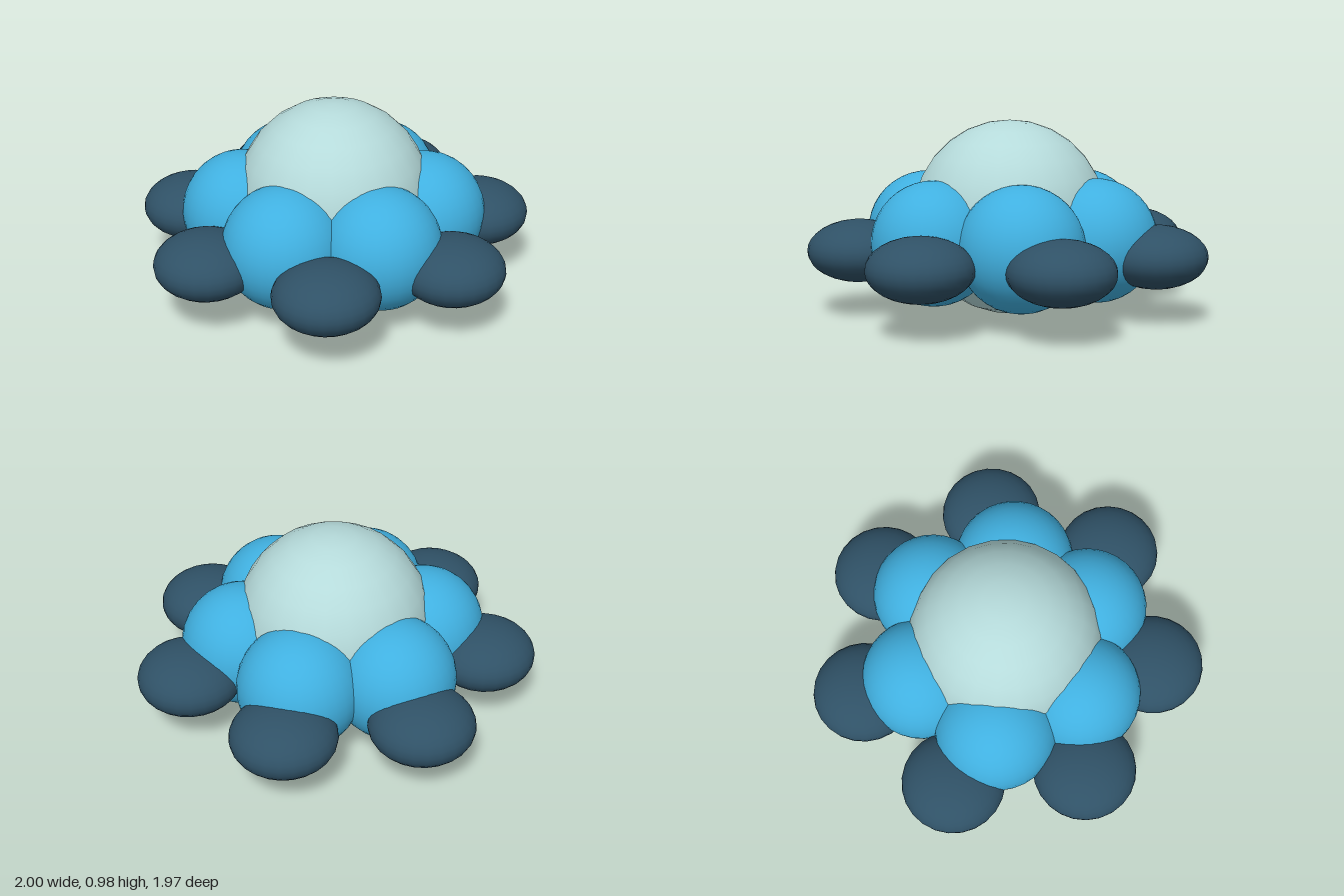
import * as THREE from 'three';

export function createModel() {
  const model = new THREE.Group();
  const centreZ = -0.04;

  const mat = (name, color) => {
    const m = new THREE.MeshStandardMaterial({ color });
    m.name = name;
    return m;
  };
  const paleTeal = mat('pale teal', 0xb5dada);
  const skyBlue = mat('sky blue', 0x40b0e0);
  const slateBlue = mat('slate blue', 0x2f5166);

  // Evenly spaced ring of equal lobes around the core
  const ring = (name, geometry, material, count, radius, y, startDeg) => {
    const group = new THREE.Group();
    group.name = name + 'Ring';
    for (let i = 0; i < count; i++) {
      const a = THREE.MathUtils.degToRad(startDeg) + (i / count) * Math.PI * 2;
      const lobe = new THREE.Mesh(geometry, material);
      lobe.name = name + (i + 1);
      lobe.position.set(Math.sin(a) * radius, y, Math.cos(a) * radius + centreZ);
      lobe.rotation.y = a;
      group.add(lobe);
    }
    model.add(group);
  };

  // Large central ball
  const core = new THREE.Mesh(new THREE.SphereGeometry(0.49, 24, 14), paleTeal);
  core.name = 'core';
  core.position.set(0, 0.495, centreZ);
  model.add(core);

  // Six round inner lobes
  ring('innerLobe', new THREE.SphereGeometry(0.308, 32, 20), skyBlue, 6, 0.462, 0.4, 30);

  // Seven flattened outer lobes
  const flat = new THREE.SphereGeometry(0.26, 24, 16).scale(1, 0.6, 1);
  ring('outerLobe', flat, slateBlue, 7, 0.76, 0.333, -1.5);

  return model;
}
